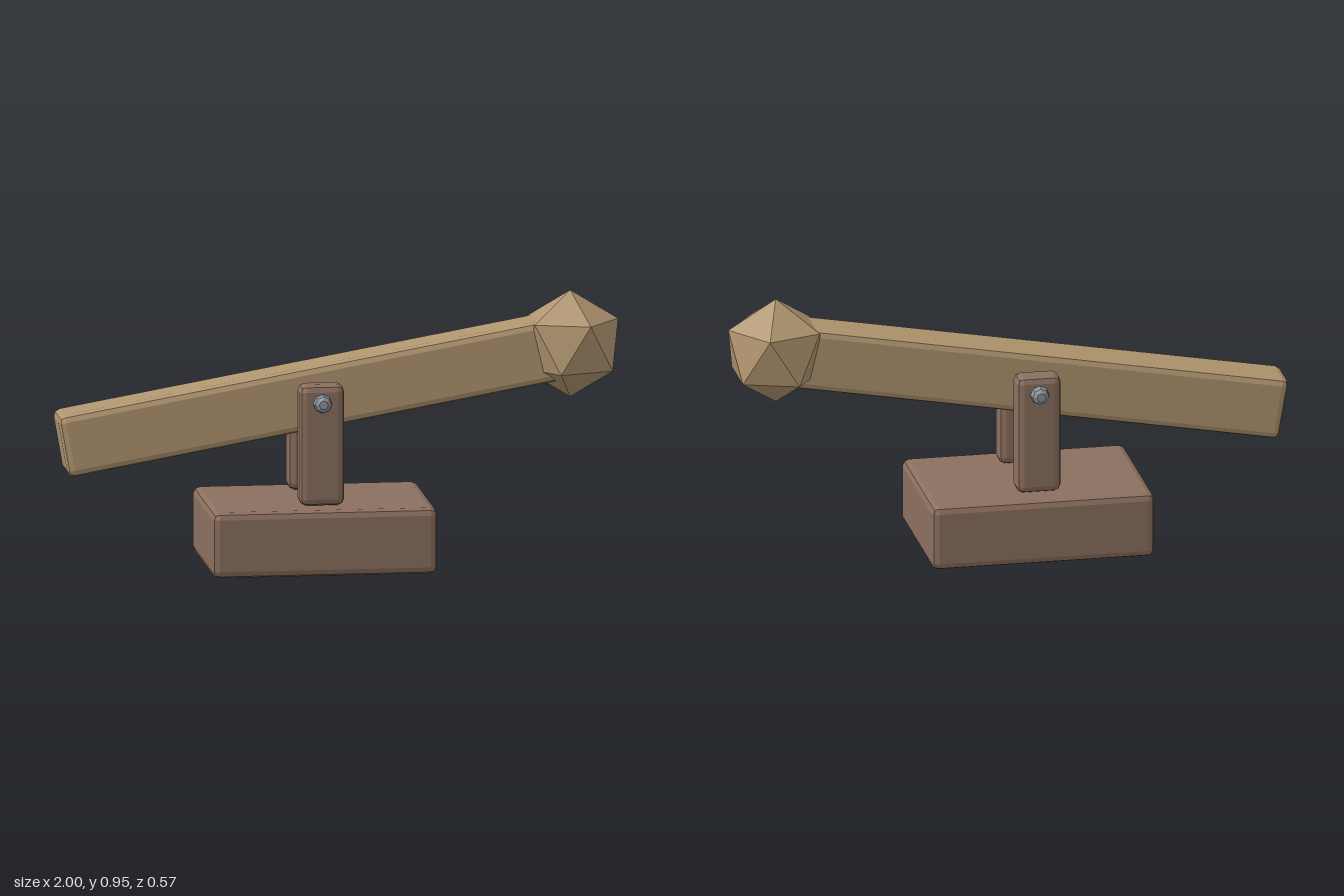
import * as THREE from 'three';
import { RoundedBoxGeometry } from 'three/addons/geometries/RoundedBoxGeometry.js';

const material = (color) => new THREE.MeshStandardMaterial({ color, flatShading: true });

export function createModel() {
  const model = new THREE.Group();
  const darkWood = material(0x8b6f5e);
  const lightWood = material(0xb0956f);
  const metal = material(0x8c929b);
  const pivot = new THREE.Vector3(-0.08, 0.606, 0);
  const tilt = THREE.MathUtils.degToRad(10);

  const add = (parent, name, geometry, mat, x, y, z) => {
    const mesh = new THREE.Mesh(geometry, mat);
    mesh.name = name;
    mesh.position.set(x, y, z);
    parent.add(mesh);
    return mesh;
  };
  // Box with a two-step bevel
  const block = (w, h, d, bevel) => new RoundedBoxGeometry(w, h, d, 1, bevel);

  // Base block and the two uprights
  add(model, 'base', block(0.8, 0.235, 0.566, 0.025), darkWood, pivot.x, 0.1175, 0);
  for (const side of [1, -1]) {
    add(model, side > 0 ? 'frontPost' : 'backPost',
      block(0.16, 0.432, 0.092, 0.025), darkWood, pivot.x, 0.454, side * 0.16);
  }

  // Axle with chamfered ends, running through posts and beam
  const half = [[0.033, 0.215], [0.029, 0.23], [0.016, 0.24], [0, 0.24]];
  const profile = [...half.map(([r, y]) => [r, -y]).reverse(), ...half]
    .map(([r, y]) => new THREE.Vector2(r, y));
  const axle = add(model, 'axle', new THREE.LatheGeometry(profile, 8), metal, ...pivot);
  axle.rotation.x = Math.PI / 2;

  // Tilted beam balanced on the axle
  const beamLength = 1.836;
  const beam = add(model, 'beam', block(beamLength, 0.224, 0.18, 0.025), lightWood, ...pivot);
  beam.rotation.z = tilt;

  // Twenty-sided head: apex top and bottom with two staggered rings of five
  const R = 0.191, ringY = R / Math.sqrt(5), ringR = 2 * ringY;
  const ring = (y, turn) => Array.from({ length: 5 }, (_, i) => {
    const a = (i * 2 * Math.PI) / 5 + turn;
    return [ringR * Math.cos(a), y, ringR * Math.sin(a)];
  });
  const upper = ring(ringY, 0), lower = ring(-ringY, Math.PI / 5);
  const corners = [];
  for (let i = 0; i < 5; i++) {
    const j = (i + 1) % 5;
    corners.push([0, R, 0], upper[j], upper[i]);
    corners.push(upper[i], upper[j], lower[i]);
    corners.push(upper[j], lower[j], lower[i]);
    corners.push([0, -R, 0], lower[i], lower[j]);
  }
  const headGeometry = new THREE.BufferGeometry();
  headGeometry.setAttribute('position', new THREE.Float32BufferAttribute(corners.flat(), 3));
  headGeometry.computeVertexNormals();
  add(model, 'head', headGeometry, lightWood, 0.826, 0.764, 0);

  return model;
}
